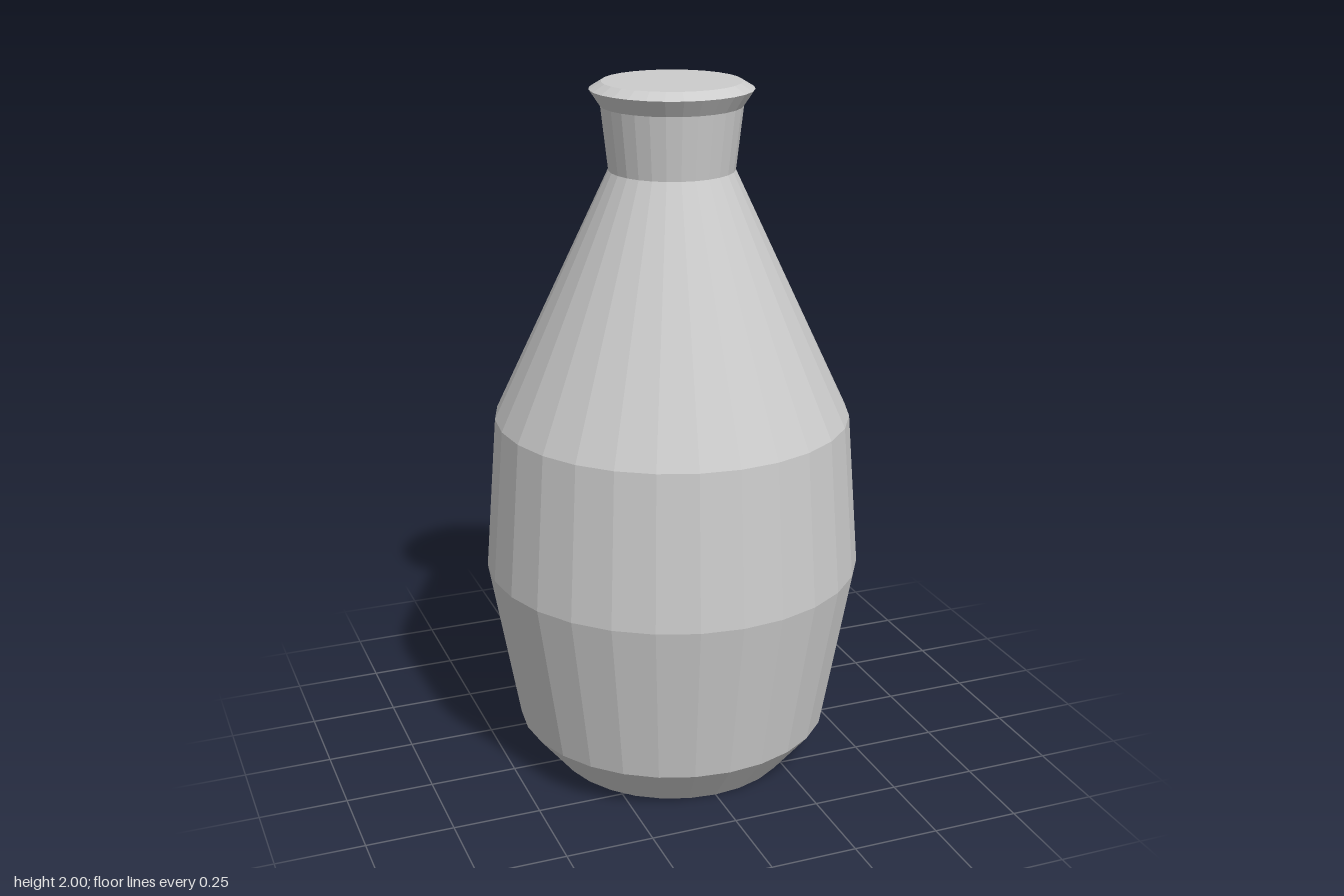
import * as THREE from 'three';

export function createModel() {
  const model = new THREE.Group();
  model.name = 'bottle';

  const grey = new THREE.MeshStandardMaterial({ color: 0xcccccc, flatShading: true });
  grey.name = 'light grey';

  const SIDES = 28;
  // Each part is a faceted turning of [radius, height] points, bottom to top
  const addTurned = (name, profile) => {
    const points = profile.map(([r, y]) => new THREE.Vector2(r, y));
    const mesh = new THREE.Mesh(new THREE.LatheGeometry(points, SIDES), grey);
    mesh.name = name;
    model.add(mesh);
  };

  // Closed base, belly and sloping shoulder
  addTurned('body', [[0, 0], [0.35, 0], [0.455, 0.13], [0.54, 0.615], [0.505, 1.06], [0.175, 1.76]]);
  // Slightly flared neck
  addTurned('neck', [[0.175, 1.76], [0.195, 1.935]]);
  // Projecting lip with a flat closed top
  addTurned('lip', [[0.195, 1.935], [0.225, 1.98], [0.192, 2], [0, 2]]);

  return model;
}
